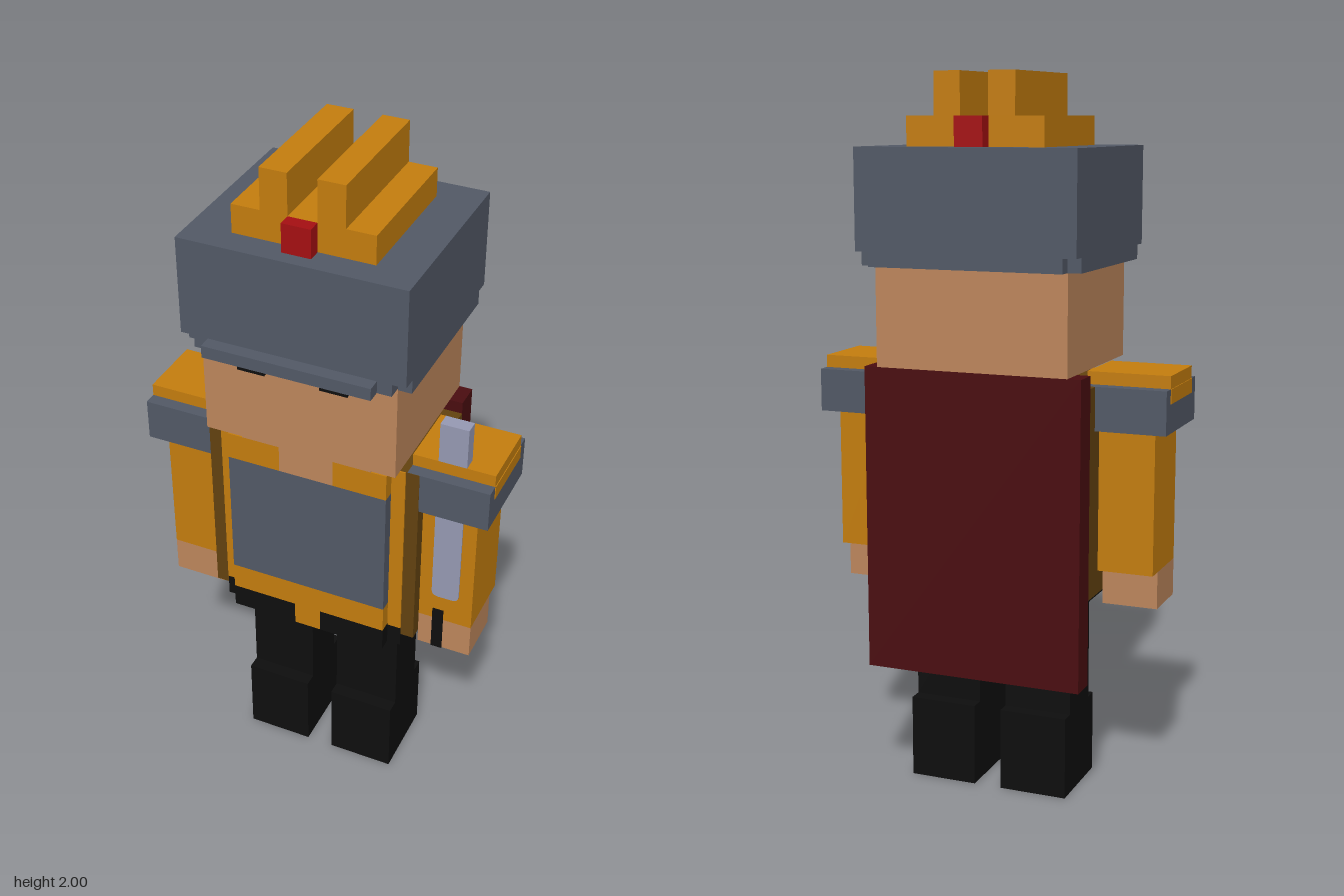
import * as THREE from 'three';

const mat = (name, color) => {
  const m = new THREE.MeshStandardMaterial({ color });
  m.name = name;
  return m;
};

export function createModel() {
  const model = new THREE.Group();
  model.name = 'blockGuard';

  const gold = mat('gold', 0xc47d0e);
  const brown = mat('brown', 0x63420f);
  const steel = mat('steel', 0x525966);
  const skin = mat('skin', 0xbd865c);
  const red = mat('red', 0xa50f12);
  const maroon = mat('maroon', 0x4a0d10);
  const black = mat('black', 0x0e0e0e);
  const blade = mat('blade', 0x9699b3);

  // Box given by its extents along each axis
  const box = (name, material, [x0, x1], [y0, y1], [z0, z1], parent = model) => {
    const mesh = new THREE.Mesh(new THREE.BoxGeometry(x1 - x0, y1 - y0, z1 - z0), material);
    mesh.position.set((x0 + x1) / 2, (y0 + y1) / 2, (z0 + z1) / 2);
    mesh.name = name;
    parent.add(mesh);
    return mesh;
  };
  // The same box on both sides of the body
  const pair = (name, material, [x0, x1], y, z) => {
    box('left' + name, material, [x0, x1], y, z);
    box('right' + name, material, [-x1, -x0], y, z);
  };

  // Legs and boots
  pair('Boot', black, [0.04, 0.235], [0, 0.235], [-0.135, 0.1]);
  pair('Leg', black, [0.04, 0.235], [0.235, 0.56], [-0.095, 0.06]);

  // Hips
  box('hips', black, [-0.275, 0.275], [0.56, 0.625], [-0.175, 0.14]);
  pair('HipFront', black, [0.04, 0.235], [0.56, 0.63], [0.14, 0.177]);
  box('tunicTab', gold, [-0.04, 0.04], [0.56, 0.63], [0.14, 0.177]);

  // Tunic with a painted front
  box('tunicBody', brown, [-0.313, 0.313], [0.6, 1.18], [-0.175, 0.138]);
  box('tunicFront', gold, [-0.275, 0.275], [0.625, 1.18], [0.138, 0.142]);
  box('tunicHem', gold, [-0.235, 0.235], [0.63, 0.71], [0.14, 0.177]);
  box('breastplate', steel, [-0.235, 0.235], [0.71, 1.1], [0.14, 0.177]);
  pair('Collar', gold, [0.08, 0.235], [1.1, 1.18], [0.14, 0.177]);
  box('openNeck', skin, [-0.08, 0.08], [1.1, 1.18], [0.14, 0.177]);
  box('neck', skin, [-0.19, 0.19], [1.18, 1.215], [-0.175, 0.177]);

  // Cape
  box('cape', maroon, [-0.313, 0.313], [0.36, 1.215], [-0.25, -0.175]);

  // Arms, hands and shoulder armour
  pair('Sleeve', gold, [0.313, 0.47], [0.665, 1.06], [-0.1, 0.1]);
  pair('Hand', skin, [0.313, 0.47], [0.56, 0.665], [-0.055, 0.1]);
  pair('ShoulderPad', steel, [0.278, 0.51], [1.06, 1.18], [-0.137, 0.137]);
  pair('ShoulderTop', gold, [0.278, 0.51], [1.18, 1.215], [-0.1, 0.1]);
  pair('ShoulderTrim', gold, [0.508, 0.512], [1.14, 1.18], [-0.1, 0.1]);

  // Sword held against the left arm
  const sword = new THREE.Group();
  sword.name = 'sword';
  model.add(sword);
  box('swordTip', blade, [0.35, 0.43], [1.215, 1.335], [0.06, 0.1], sword);
  const outline = new THREE.Shape();
  outline.moveTo(0.35, 1.06).lineTo(0.35, 0.77)
    .quadraticCurveTo(0.35, 0.75, 0.37, 0.75).lineTo(0.41, 0.75)
    .quadraticCurveTo(0.43, 0.75, 0.43, 0.77).lineTo(0.43, 1.06);
  const lower = new THREE.Mesh(
    new THREE.ExtrudeGeometry(outline, { depth: 0.005, bevelEnabled: false, curveSegments: 4 }), blade);
  lower.position.z = 0.099;
  lower.name = 'swordBlade';
  sword.add(lower);
  box('swordGrip', black, [0.355, 0.387], [0.56, 0.7], [0.098, 0.104], sword);

  // Head and eyes
  box('head', skin, [-0.275, 0.275], [1.215, 1.53], [-0.25, 0.215]);
  pair('Eye', black, [0.077, 0.155], [1.457, 1.495], [0.215, 0.254]);

  // Helmet with notched lower corners and a visor
  box('helmet', steel, [-0.313, 0.313], [1.53, 1.805], [-0.293, 0.255]);
  pair('HelmetSide', steel, [0.275, 0.313], [1.49, 1.53], [-0.255, 0.215]);
  box('helmetFront', steel, [-0.275, 0.275], [1.495, 1.53], [0.215, 0.255]);
  box('helmetBack', steel, [-0.275, 0.275], [1.49, 1.53], [-0.293, -0.25]);
  box('visor', steel, [-0.235, 0.235], [1.495, 1.53], [0.255, 0.293]);

  // Crest
  box('crestBase', gold, [-0.195, 0.195], [1.805, 1.885], [-0.215, 0.177]);
  pair('CrestRidge', gold, [0.04, 0.115], [1.885, 2], [-0.215, 0.177]);
  box('crestFrontGem', red, [-0.04, 0.04], [1.805, 1.885], [0.177, 0.215]);
  box('crestBackGem', red, [-0.04, 0.04], [1.805, 1.885], [-0.255, -0.215]);

  return model;
}
